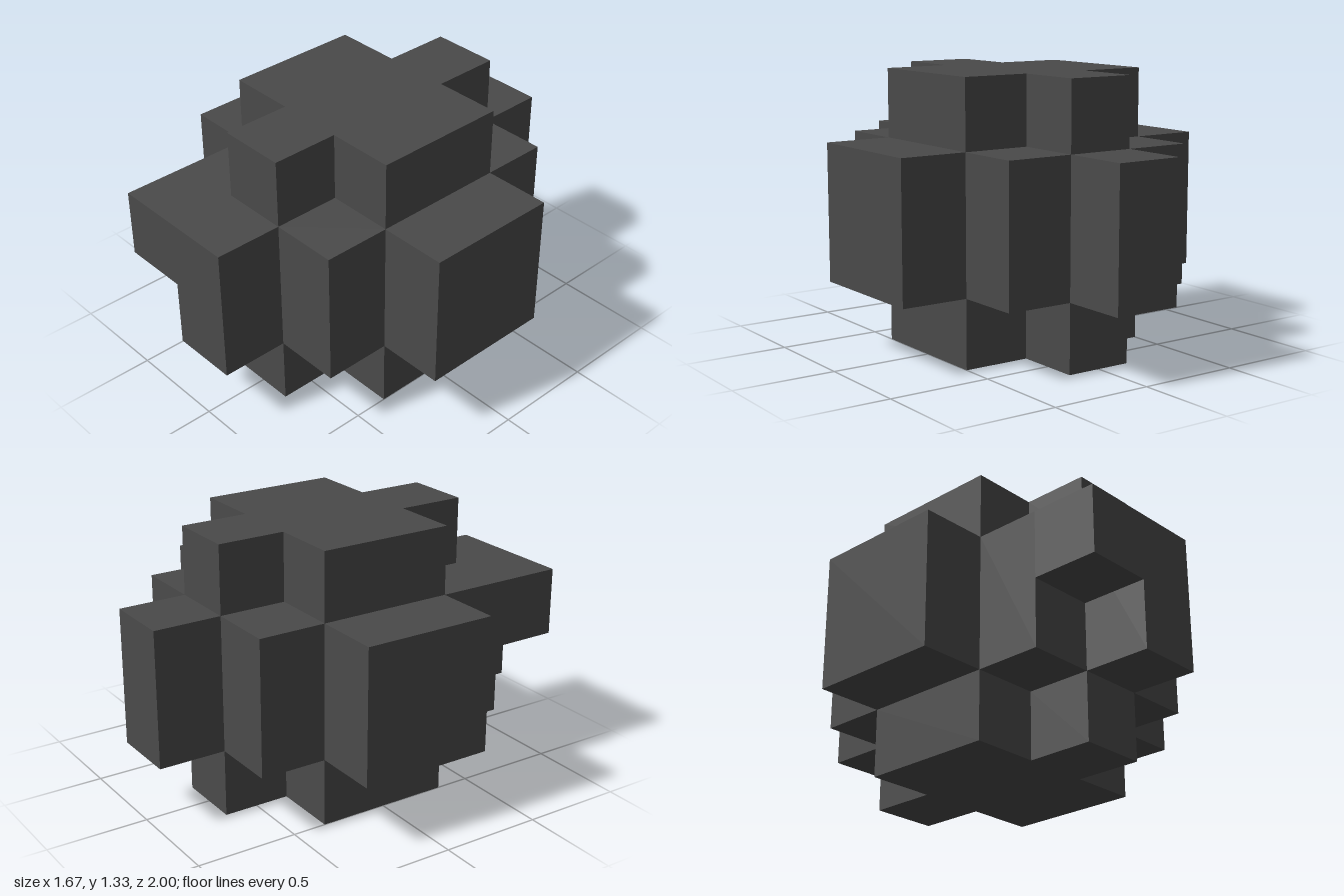
import * as THREE from 'three';

const U = 1 / 3; // size of one block

// Stepped outline, symmetric about both axes, from its first-quadrant corners (in blocks)
function steppedShape(corners) {
  const back = [...corners].reverse();
  const outline = [
    ...corners,
    ...back.map(([x, y]) => [-x, y]),
    ...corners.map(([x, y]) => [-x, -y]),
    ...back.map(([x, y]) => [x, -y]),
  ];
  return new THREE.Shape(outline.map(([x, y]) => new THREE.Vector2(x * U, y * U)));
}

// Horizontal slab standing on level y0, h blocks tall
function slab(shape, y0, h) {
  const g = new THREE.ExtrudeGeometry(shape, { depth: h * U, bevelEnabled: false });
  g.rotateX(-Math.PI / 2);
  return g.translate(0, y0 * U, 0);
}

export function createModel() {
  const group = new THREE.Group();
  group.name = 'blockBoulder';
  const stone = new THREE.MeshStandardMaterial({ color: 0x4a4a4a });
  stone.name = 'dark stone';

  const add = (name, geometry) => {
    const mesh = new THREE.Mesh(geometry, stone);
    mesh.name = name;
    group.add(mesh);
  };

  const cross = steppedShape([[1.5, 1], [0.5, 1], [0.5, 2]]);
  const wide = steppedShape([[2.5, 1], [1.5, 1], [1.5, 2], [0.5, 2], [0.5, 3]]);

  // Cross-shaped foot and cap around a wider stepped body
  add('foot', slab(cross, 0, 1));
  add('body', slab(wide, 1, 2));
  add('cap', slab(cross, 3, 1));

  // Single block jutting out at the upper front
  add('frontKnob', new THREE.BoxGeometry(U, U, U).translate(-U, 2.5 * U, 2.5 * U));

  return group;
}
